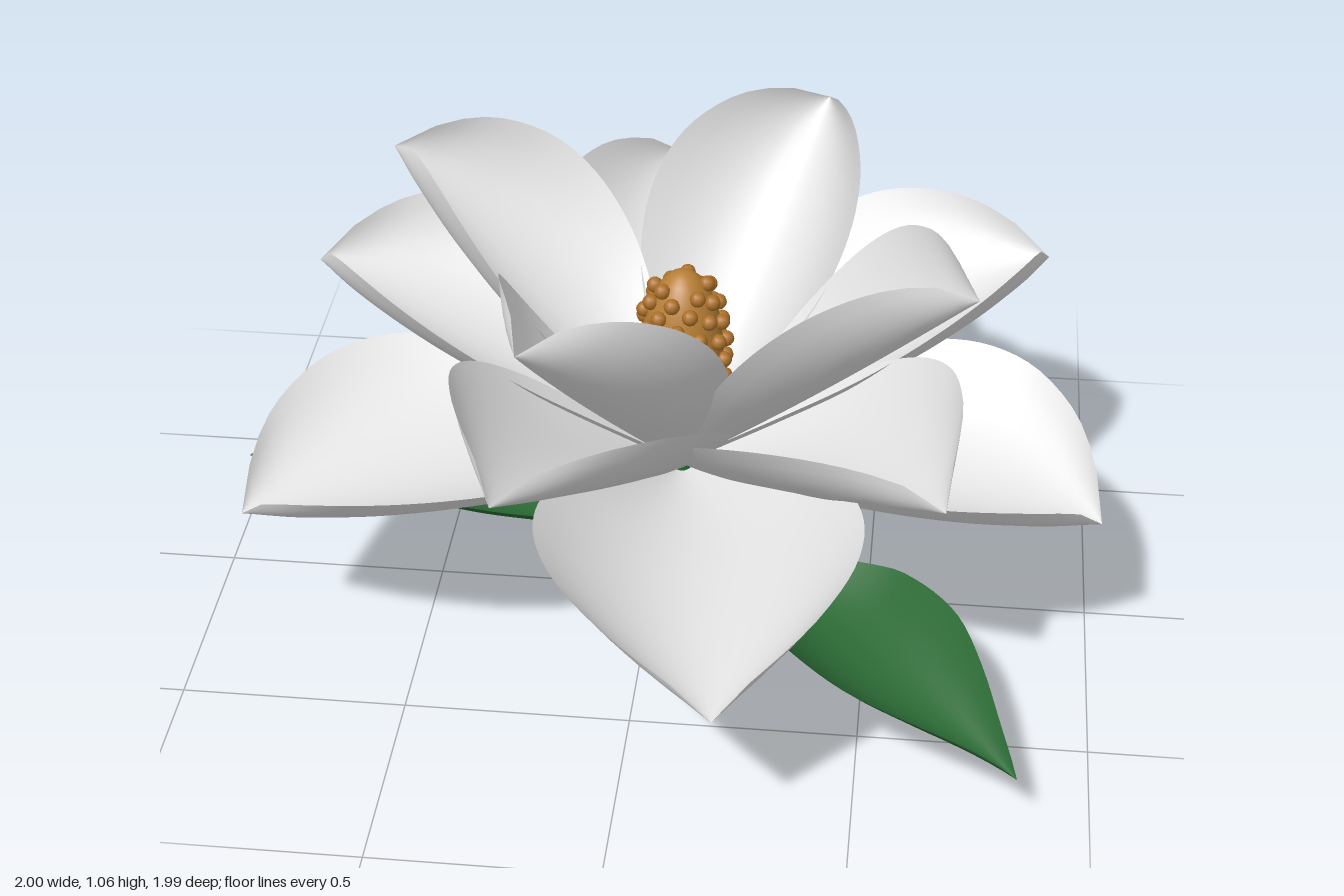
import * as THREE from 'three';

const material = (name, color, side = THREE.FrontSide) => {
  const m = new THREE.MeshStandardMaterial({ color, side });
  m.name = name;
  return m;
};

// Smooth outline: half width (0 to 1) along the length t (0 to 1)
const outline = (points) => {
  const curve = new THREE.SplineCurve(points.map(([t, w]) => new THREE.Vector2(t, w)));
  const samples = curve.getPoints(200);
  return (t) => {
    const i = Math.max(1, samples.findIndex((p) => p.x >= t - 1e-9));
    const a = samples[i - 1], b = samples[i];
    return Math.max(0, a.y + (b.y - a.y) * Math.min(1, (t - a.x) / (b.x - a.x)));
  };
};
const petalOutline = outline([[0, 0.1], [0.2, 0.54], [0.4, 0.89], [0.58, 1], [0.74, 0.91], [0.87, 0.65], [0.95, 0.34], [1, 0]]);
const leafOutline = outline([[0, 0.06], [0.2, 0.55], [0.4, 0.95], [0.5, 1], [0.65, 0.88], [0.78, 0.6], [0.9, 0.27], [1, 0]]);

// Cupped blade running outward along +x, rising from y0 to y1; lean moves the cupping toward the tip
function bladeGeometry({ start, reach, y0, y1, width, cup, bow, lean = 0, wave = 0, shape }) {
  const geo = new THREE.PlaneGeometry(1, 1, 16, 32);
  const pos = geo.attributes.position;
  const tilt = Math.atan2(y1 - y0, reach - start);
  for (let i = 0; i < pos.count; i++) {
    const u = pos.getX(i) * 2;
    const t = pos.getY(i) + 0.5;
    const f = shape(t);
    const lift = cup * u * u * Math.pow(f, 0.7) * (1 - lean + lean * t)
      + bow * Math.sin(Math.PI * t) + wave * u * f * Math.sin(2 * Math.PI * t);
    pos.setXYZ(i,
      start + (reach - start) * t - lift * Math.sin(tilt),
      y0 + (y1 - y0) * t + lift * Math.cos(tilt),
      u * f * width);
  }
  geo.computeVertexNormals();
  return geo;
}

export function createModel() {
  const flower = new THREE.Group();
  flower.name = 'flower';
  const white = material('petal white', 0xe6e6e6, THREE.DoubleSide);
  const green = material('leaf green', 0x2b6a35, THREE.DoubleSide);
  const amber = material('core amber', 0xb87f36);
  const brown = material('stamen brown', 0xac7029);

  // Stem
  const profile = [[0, 0], [0.013, 0.01], [0.025, 0.04], [0.035, 0.1], [0.039, 0.18], [0.037, 0.3], [0.033, 0.42], [0, 0.48]];
  const stem = new THREE.Mesh(new THREE.LatheGeometry(
    new THREE.SplineCurve(profile.map(([x, y]) => new THREE.Vector2(x, y))).getPoints(30)
      .map((p) => new THREE.Vector2(Math.max(0, p.x), p.y)), 24), green);
  stem.name = 'stem';
  flower.add(stem);

  // Rings of blades: each entry of spread is [angle in degrees, reach, tip height]
  const rings = [
    { name: 'outerPetal', mat: white, shape: petalOutline, start: 0.01, y0: 0.358, width: 0.342, cup: 0.195, bow: 0.027, lean: 0.15,
      spread: [[14, 0.965, 0.425], [81, 0.99, 0.412], [158, 1.0, 0.412], [229, 0.97, 0.42], [299, 1.03, 0.415]] },
    { name: 'middlePetal', mat: white, shape: petalOutline, start: 0.02, y0: 0.365, width: 0.293, cup: 0.225, bow: 0.015, lean: 0.4,
      spread: [[334, 0.895, 0.72], [47.5, 0.88, 0.72], [112, 0.83, 0.75], [192, 0.865, 0.735], [264, 0.835, 0.71]] },
    { name: 'innerPetal', mat: white, shape: petalOutline, start: 0.03, y0: 0.385, width: 0.25, cup: 0.23, bow: -0.005, lean: 0.5,
      spread: [[294, 0.69, 0.98], [24, 0.7, 1.0], [115, 0.66, 1.0], [199, 0.71, 1.01]] },
    { name: 'leaf', mat: green, shape: leafOutline, start: 0.05, y0: 0.149, width: 0.19, cup: 0.11, bow: 0.016, wave: 0.027,
      spread: [[192, 1.09, 0.148], [293, 1.095, 0.148], [45, 1.095, 0.148]] },
  ];
  for (const ring of rings) {
    ring.spread.forEach(([degrees, reach, y1], i) => {
      const blade = new THREE.Mesh(bladeGeometry({ ...ring, reach, y1 }), ring.mat);
      blade.name = `${ring.name}${i + 1}`;
      blade.rotation.y = -THREE.MathUtils.degToRad(degrees);
      flower.add(blade);
    });
  }

  // Central cone
  const rx = 0.092, ry = 0.21, cy = 0.655;
  const core = new THREE.Mesh(new THREE.SphereGeometry(1, 28, 20), amber);
  core.name = 'core';
  core.scale.set(rx, ry, rx);
  core.position.y = cy;
  flower.add(core);

  // Stamen beads winding around the cone
  const beads = new THREE.Group();
  beads.name = 'stamens';
  const beadGeo = new THREE.SphereGeometry(0.018, 10, 8);
  const count = 70;
  for (let i = 0; i < count; i++) {
    const h = 0.86 - (1.4 * i) / count;
    const r = Math.sqrt(1 - h * h) * rx + 0.006;
    const a = i * 2.39996;
    const bead = new THREE.Mesh(beadGeo, brown);
    bead.name = 'stamen';
    bead.position.set(r * Math.cos(a), cy + h * ry, r * Math.sin(a));
    beads.add(bead);
  }
  flower.add(beads);

  // Leaves reach unevenly, so the stem stands off centre
  flower.position.set(0.065, 0, 0.01);
  const model = new THREE.Group();
  model.name = 'flowerModel';
  model.add(flower);
  return model;
}
